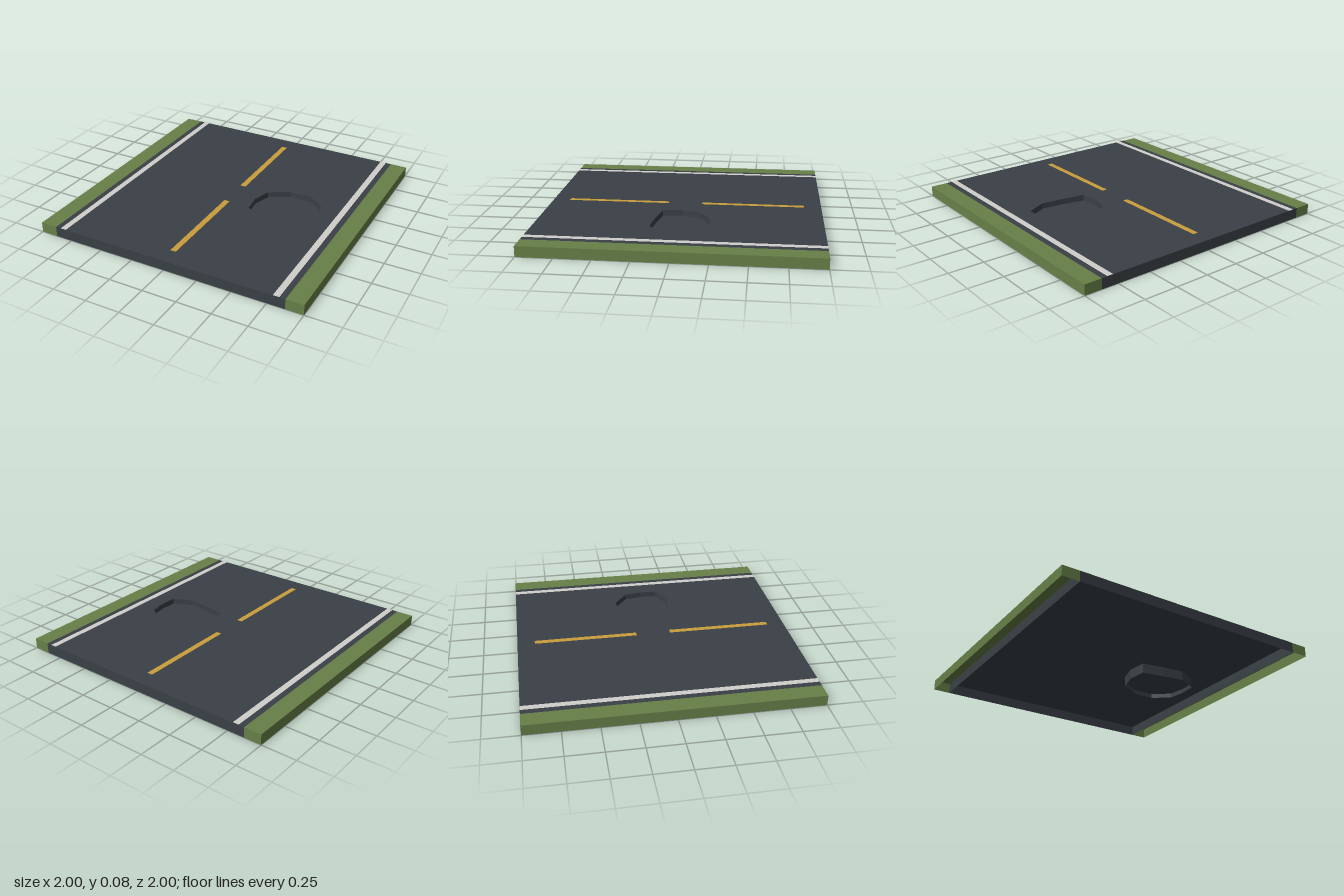
import * as THREE from 'three';

const H = 0.075;        // slab height
const ROAD = 0.875;     // half width of the asphalt
const FLOOR = 0.033;    // height of the pothole floor

const mat = (name, color) => {
  const m = new THREE.MeshStandardMaterial({ color, side: THREE.DoubleSide });
  m.name = name;
  return m;
};

// Plan points are [x, -z], counter-clockwise seen from above
const toShape = (pts) => new THREE.Shape(pts.map(([x, y]) => new THREE.Vector2(x, y)));

function flat(shape, y) {
  return new THREE.ShapeGeometry(shape).rotateX(-Math.PI / 2).translate(0, y, 0);
}

// Upright faceted wall following a line of plan points
function wall(pts, closed) {
  const pos = [];
  const n = closed ? pts.length : pts.length - 1;
  for (let i = 0; i < n; i++) {
    const [ax, ay] = pts[i];
    const [bx, by] = pts[(i + 1) % pts.length];
    const a = [ax, 0, -ay], b = [bx, 0, -by], c = [bx, H, -by], d = [ax, H, -ay];
    pos.push(...a, ...b, ...c, ...a, ...c, ...d);
  }
  const g = new THREE.BufferGeometry();
  g.setAttribute('position', new THREE.Float32BufferAttribute(pos, 3));
  g.computeVertexNormals();
  return g;
}

export function createModel() {
  const model = new THREE.Group();
  model.name = 'roadSection';
  const asphalt = mat('asphalt', 0x3a4046);
  const grass = mat('grass', 0x678048);
  const white = mat('whitePaint', 0xd0cfca);
  const yellow = mat('yellowPaint', 0xc99d3a);

  const add = (parent, name, geometry, material) => {
    const mesh = new THREE.Mesh(geometry, material);
    mesh.name = name;
    parent.add(mesh);
    return mesh;
  };

  // Asphalt shell, open underneath, with an irregular pothole
  const outline = [[-ROAD, -1], [ROAD, -1], [ROAD, 1], [-ROAD, 1]];
  const hole = [
    [0.17, 0], [0.21, 0.13], [0.36, 0.215], [0.52, 0.215], [0.645, 0.12],
    [0.665, 0], [0.66, -0.125], [0.515, -0.195], [0.35, -0.175], [0.185, -0.145],
  ];
  const surface = toShape(outline);
  surface.holes.push(toShape(hole));
  add(model, 'roadSurface', flat(surface, H), asphalt);
  add(model, 'roadSides', wall(outline, true), asphalt);
  add(model, 'potholeWall', wall(hole, true), asphalt);
  add(model, 'potholeFloor', flat(toShape(hole), FLOOR), asphalt);

  // Grass verges, the second turned half way round
  const verge = [[ROAD, -1], [1, -1], [1, 1], [ROAD, 1]];
  for (const [name, turn] of [['leftVerge', 0], ['rightVerge', Math.PI]]) {
    const group = new THREE.Group();
    group.name = name;
    group.rotation.y = turn;
    add(group, 'vergeTop', flat(toShape(verge), H), grass);
    add(group, 'vergeSides', wall(verge, false), grass);
    model.add(group);
  }

  // Painted lines
  const paint = (name, w, l, x, z, material) => {
    const g = new THREE.PlaneGeometry(w, l).rotateX(-Math.PI / 2);
    add(model, name, g, material).position.set(x, H + 0.0015, z);
  };
  for (const s of [1, -1]) {
    paint('edgeLine', 0.044, 2, s * 0.812, 0, white);
    paint('centreDash', 0.042, 0.75, 0, s * 0.5, yellow);
  }
  return model;
}
